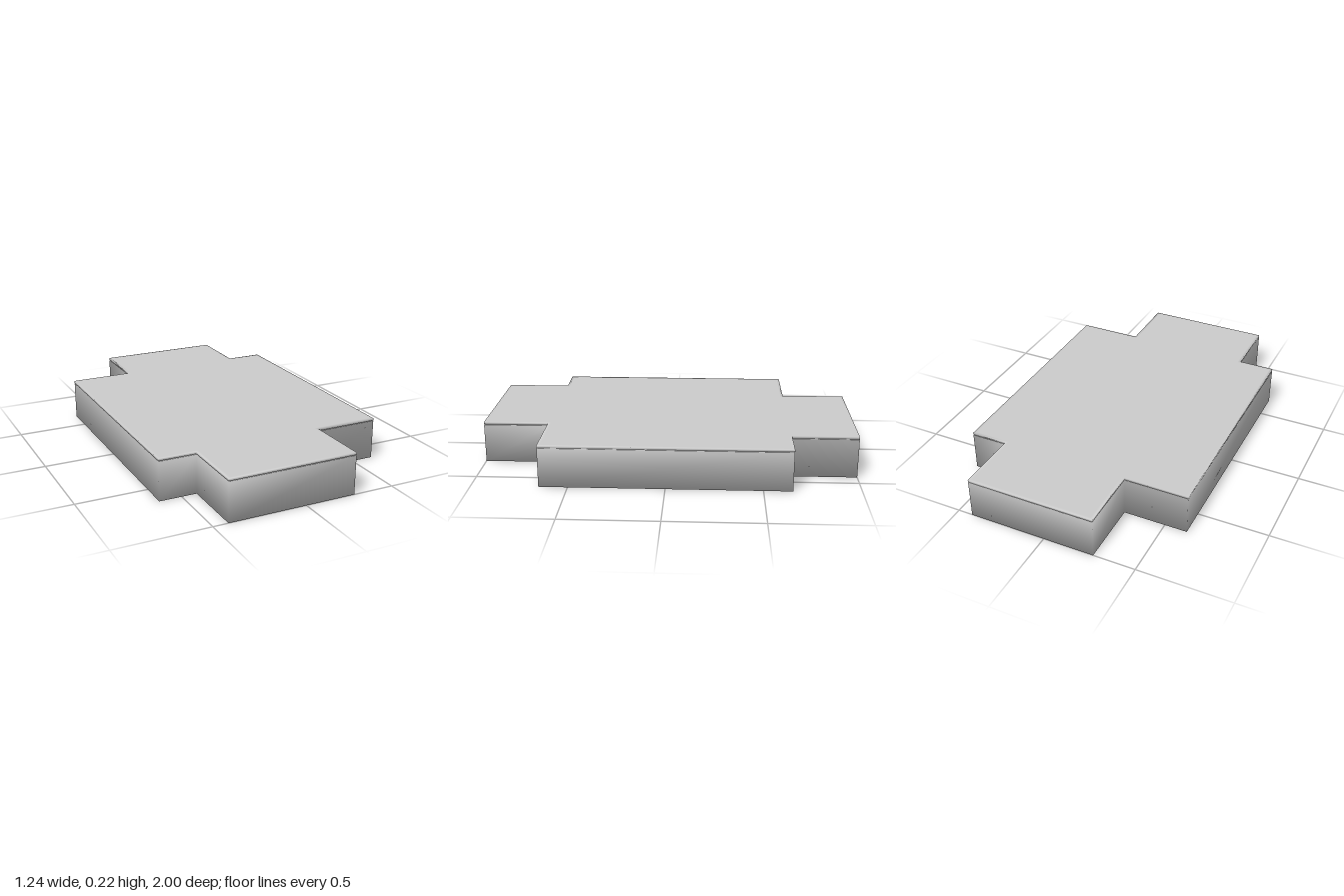
import * as THREE from 'three';

// Half of the stepped outline as (x, z); the other half is its half-turn
const HALF = [[-0.275, -1], [0.42, -1], [0.42, -0.65], [0.62, -0.65], [0.62, 0.65], [0.275, 0.65]];
const OUTLINE = [...HALF, ...HALF.map(([x, z]) => [-x, -z])];

// Moves every right-angled corner of the outline inwards by d
function inset(d) {
  const n = OUTLINE.length;
  const outward = (a, b) => [Math.sign(b[1] - a[1]), -Math.sign(b[0] - a[0])];
  return OUTLINE.map((p, i) => {
    const n1 = outward(OUTLINE[(i + n - 1) % n], p);
    const n2 = outward(p, OUTLINE[(i + 1) % n]);
    return [p[0] - d * (n1[0] + n2[0]), p[1] - d * (n1[1] + n2[1])];
  });
}

// Smooth closed solid from rows of [inset, height], bottom to top
function steppedSolid(rows) {
  const n = OUTLINE.length, pos = [], idx = [];
  for (const [d, y] of rows) for (const [x, z] of inset(d)) pos.push(x, y, z);
  for (let r = 0; r < rows.length - 1; r++) {
    for (let i = 0; i < n; i++) {
      const a = r * n + i, b = r * n + (i + 1) % n;
      idx.push(a, a + n, b, b, a + n, b + n);
    }
  }
  // Flat caps, each triangle turned to face outwards
  const cap = (row, up) => {
    const pts = inset(rows[row][0]).map(([x, z]) => new THREE.Vector2(x, z));
    for (const [a, b, c] of THREE.ShapeUtils.triangulateShape(pts, [])) {
      const u = pts[b].clone().sub(pts[a]), v = pts[c].clone().sub(pts[a]);
      const facesUp = u.cross(v) < 0;
      const tri = facesUp === up ? [a, b, c] : [a, c, b];
      idx.push(...tri.map(k => row * n + k));
    }
  };
  cap(0, false);
  cap(rows.length - 1, true);
  const geo = new THREE.BufferGeometry();
  geo.setAttribute('position', new THREE.Float32BufferAttribute(pos, 3));
  geo.setIndex(idx);
  geo.computeVertexNormals();
  return geo;
}

export function createModel() {
  const group = new THREE.Group();
  group.name = 'steppedSlab';
  const material = new THREE.MeshStandardMaterial({ color: 0xcccccc });
  // Wall, fine groove, then a thin lip around the flat top
  const slab = new THREE.Mesh(steppedSolid([
    [0, 0], [0, 0.209], [0.006, 0.209], [0.006, 0.213], [0, 0.213], [0, 0.225], [0.015, 0.225],
  ]), material);
  slab.name = 'slab';
  group.add(slab);
  return group;
}
